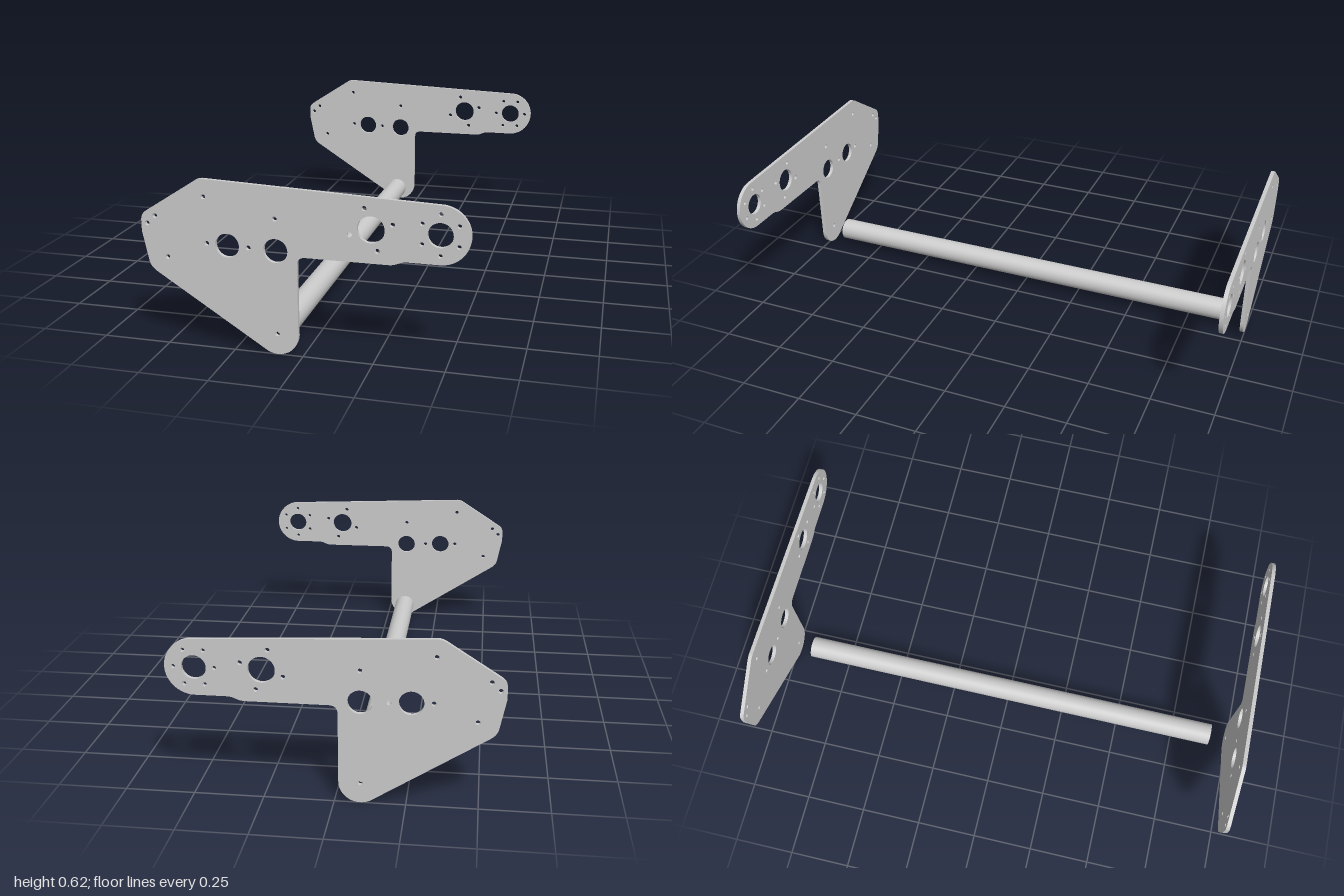
import * as THREE from 'three';

const material = new THREE.MeshStandardMaterial({ color: 0xcccccc });
const THICKNESS = 0.015;
const FOOT = [-0.091, 0.077]; // centre of the rounded foot and of the tube
const HUB = [0.476, 0.483];   // centre of the rounded arm end

const bores = [
  [-0.265, 0.387, 0.043], [-0.091, 0.382, 0.043],
  [0.243, 0.484, 0.047], [...HUB, 0.043],
];
const boltHoles = [
  [-0.346, 0.556], [-0.529, 0.475], [-0.559, 0.446], [-0.488, 0.328],
  [-0.34, 0.389], [-0.189, 0.385], [-0.091, 0.496], FOOT,
  [0.22, 0.556], [0.316, 0.506], [0.17, 0.461], [0.265, 0.411],
];

function addHole(shape, x, y, r) {
  shape.holes.push(new THREE.Path().absarc(x, y, r, 0, Math.PI * 2, true));
}

// Side plate: rounded outline, bearing bores, bolt holes and a bolt circle at the hub
function createPlate(name, z, ringStart) {
  const s = new THREE.Shape();
  s.absarc(...FOOT, 0.076, -2.143, 0, false);
  s.lineTo(-0.015, 0.335);
  s.quadraticCurveTo(-0.015, 0.366, 0.016, 0.366);
  s.lineTo(0.3, 0.366);
  s.bezierCurveTo(0.335, 0.366, 0.335, 0.381, 0.37, 0.381);
  s.absarc(...HUB, 0.102, -Math.PI / 2, Math.PI / 2 - 0.04, false);
  s.lineTo(-0.345, 0.619);
  s.quadraticCurveTo(-0.364, 0.62, -0.382, 0.607);
  s.lineTo(-0.562, 0.491);
  s.quadraticCurveTo(-0.581, 0.478, -0.581, 0.455);
  s.lineTo(-0.581, 0.416);
  s.lineTo(-0.559, 0.307);
  s.quadraticCurveTo(-0.553, 0.284, -0.531, 0.27);
  s.closePath();

  for (const [x, y, r] of bores) addHole(s, x, y, r);
  for (const [x, y] of boltHoles) addHole(s, x, y, 0.0085);
  for (let i = 0; i < 6; i++) {
    const a = ringStart + (i * Math.PI) / 3;
    addHole(s, HUB[0] + 0.071 * Math.cos(a), HUB[1] + 0.071 * Math.sin(a), 0.0075);
  }

  const geometry = new THREE.ExtrudeGeometry(s, {
    depth: THICKNESS, bevelEnabled: false, curveSegments: 20,
  });
  const plate = new THREE.Mesh(geometry, material);
  plate.name = name;
  plate.position.z = z;
  return plate;
}

// Hollow cross tube between the feet of the plates
function createTube() {
  const length = 1.824;
  const ring = new THREE.Shape().absarc(0, 0, 0.046, 0, Math.PI * 2, false);
  addHole(ring, 0, 0, 0.04);
  const geometry = new THREE.ExtrudeGeometry(ring, {
    depth: length, bevelEnabled: false, curveSegments: 48,
  });
  const tube = new THREE.Mesh(geometry, material);
  tube.name = 'crossTube';
  tube.position.set(...FOOT, -length / 2);
  return tube;
}

export function createModel() {
  const model = new THREE.Group();
  model.name = 'sidePlatesWithCrossTube';
  model.add(
    createPlate('frontPlate', 1 - THICKNESS, Math.PI / 6),
    createPlate('backPlate', -1, 0),
    createTube(),
  );
  return model;
}
